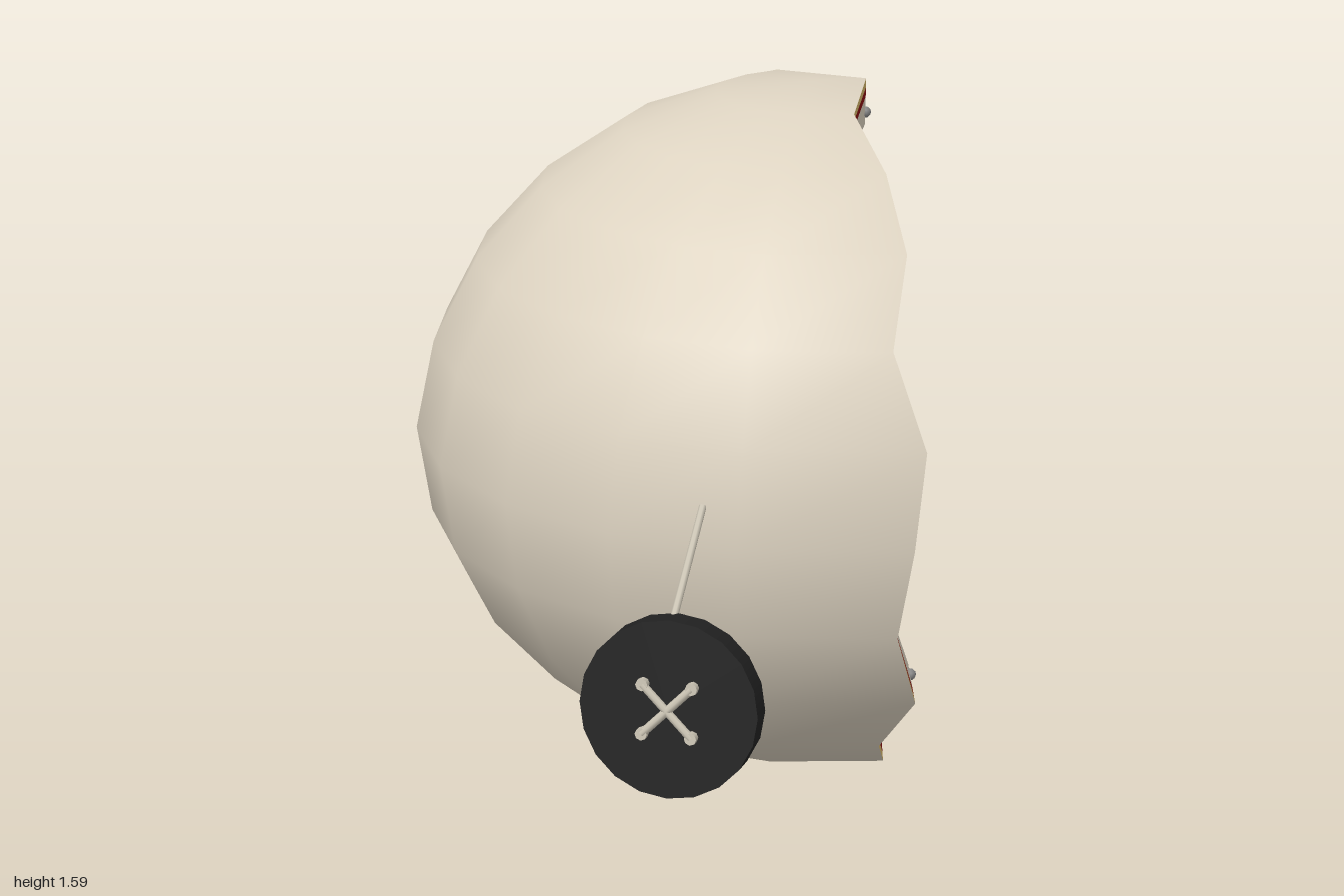
import * as THREE from 'three';

const mat = (name, color) => Object.assign(new THREE.MeshStandardMaterial({ color }), { name });

// Half ellipsoid: 12 rows of latitude, 10 columns from front to back
const ROWS = 12, COLS = 10, CENTRE = new THREE.Vector3(0.39, 0.795, -0.115);
const OUTER = new THREE.Vector3(0.915, 0.795, 0.885);
const INNER = new THREE.Vector3(0.81, 0.69, 0.78);

// x of the broken edge every 15 degrees, from the front over the top to the back
const EDGE = [0.475, 0.5, 0.44, 0.49, 0.475, 0.44, 0.505, 0.335, 0.37, 0.38, 0.33, 0.385,
  0.36, 0.335, 0.41, 0.36, 0.365, 0.44, 0.44, 0.505, 0.505, 0.46, 0.51, 0.45];

// Stained cells of the inside: row -> columns
const STAINS = { 1: [4, 5, 6, 7], 2: [1, 4, 5, 6, 7], 3: [0, 1, 7], 4: [0], 5: [5], 6: [4], 7: [2, 5, 7, 8], 8: [7, 8], 9: [9] };
const stained = (i, c) => (STAINS[i] || []).includes(c);

function shellPoint(r, i, c) {
  const lat = (i / ROWS - 0.5) * Math.PI, lon = (0.5 - c / COLS) * Math.PI;
  const p = new THREE.Vector3(
    CENTRE.x - r.x * Math.cos(lon) * Math.cos(lat),
    CENTRE.y + r.y * Math.sin(lat),
    CENTRE.z + r.z * Math.sin(lon) * Math.cos(lat));
  p.x += 0.05 * Math.max(0, Math.sin(lat)) * Math.cos(lat) * Math.cos(lon);
  if (c === 0) p.x = EDGE[(i + 18) % 24];
  if (c === COLS) p.x = EDGE[18 - i];
  return p;
}

// Smooth wall from the chosen cells of the half ellipsoid
function shellWall(r, inward, keep) {
  const pos = [], nor = [], index = [];
  for (let i = 0; i <= ROWS; i++) for (let c = 0; c <= COLS; c++) {
    const p = shellPoint(r, i, c);
    const n = p.clone().sub(CENTRE).divide(r).divide(r).normalize().multiplyScalar(inward ? -1 : 1);
    pos.push(p.x, p.y, p.z);
    nor.push(n.x, n.y, n.z);
  }
  for (let i = 0; i < ROWS; i++) for (let c = 0; c < COLS; c++) {
    if (!keep(i, c)) continue;
    const a = i * (COLS + 1) + c, b = a + 1, d = a + COLS + 1, e = d + 1;
    if (inward) index.push(b, d, a, b, e, d);
    else index.push(b, a, d, b, d, e);
  }
  const g = new THREE.BufferGeometry();
  g.setAttribute('position', new THREE.Float32BufferAttribute(pos, 3));
  g.setAttribute('normal', new THREE.Float32BufferAttribute(nor, 3));
  g.setIndex(index);
  return g;
}

// Point on the broken edge; s runs from the outside (0) to the inside (1)
function edgePoint(m, s) {
  const k = m % 24;
  const [i, c] = k <= 6 ? [k + 6, 0] : k >= 18 ? [k - 18, 0] : [18 - k, COLS];
  return shellPoint(OUTER, i, c).lerp(shellPoint(INNER, i, c), s);
}

// One flat layer of the broken edge
function edgeBand(s0, s1) {
  const pts = [];
  for (let m = 0; m < 24; m++) {
    const a = edgePoint(m, s0), b = edgePoint(m, s1), c = edgePoint(m + 1, s1), d = edgePoint(m + 1, s0);
    pts.push(a, b, c, a, c, d);
  }
  const g = new THREE.BufferGeometry().setFromPoints(pts);
  g.computeVertexNormals();
  return g;
}

// Round rod between two points
function rod(a, b, radius, material) {
  const dir = b.clone().sub(a);
  const m = new THREE.Mesh(new THREE.CylinderGeometry(radius, radius, dir.length(), 8), material);
  m.position.copy(a).add(b).multiplyScalar(0.5);
  m.quaternion.setFromUnitVectors(new THREE.Vector3(0, 1, 0), dir.normalize());
  return m;
}

export function createModel() {
  const cream = mat('cream shell', 0xddd3c1), red = mat('dark red', 0x8b0f10), tan = mat('tan layer', 0xd9b96c);
  const black = mat('black button', 0x222222), thread = mat('thread', 0xcbc4b4), metal = mat('stud metal', 0x858585);
  const model = new THREE.Group();
  const add = (name, object, parent = model) => {
    object.name = name;
    parent.add(object);
    return object;
  };

  // Hollow broken shell
  add('outerShell', new THREE.Mesh(shellWall(OUTER, false, () => true), cream));
  add('innerShell', new THREE.Mesh(shellWall(INNER, true, (i, c) => !stained(i, c)), cream));
  add('innerStains', new THREE.Mesh(shellWall(INNER, true, stained), red));

  // Layers of the broken edge
  add('edgeTanLayer', new THREE.Mesh(edgeBand(0, 0.2), tan));
  add('edgeRedLayer', new THREE.Mesh(edgeBand(0.2, 0.4), red));
  add('edgeCreamLayer', new THREE.Mesh(edgeBand(0.4, 1), cream));

  // Twelve studs around the edge
  for (let m = 0; m < 24; m += 2) {
    const stud = add('edgeStud', new THREE.Mesh(new THREE.SphereGeometry(0.013, 8, 6), metal));
    stud.position.copy(edgePoint(m, 0.74));
  }

  // Button hanging from a thread
  const button = add('button', new THREE.Group());
  button.position.set(-0.042, 0.532, 0.9);
  button.quaternion.setFromUnitVectors(new THREE.Vector3(0, 0, 1), new THREE.Vector3(-0.38, 0.13, 0.91).normalize());
  const disc = add('buttonDisc', new THREE.Mesh(new THREE.CylinderGeometry(0.188, 0.188, 0.06, 20), black), button);
  disc.rotation.x = Math.PI / 2;
  for (const s of [-1, 1]) {
    const ends = [-1, 1].map(e => new THREE.Vector3(0.052 * e, 0.052 * e * s, 0.04));
    add('crossStitch', rod(ends[0], ends[1], 0.009, thread), button);
    for (const p of ends) {
      add('stitchEnd', rod(p.clone().setZ(0.02), p.clone().setZ(0.047), 0.013, thread), button);
    }
  }
  add('hangingThread', rod(new THREE.Vector3(-0.055, 0.66, 0.9), new THREE.Vector3(0.045, 0.88, 0.68), 0.008, thread));

  return model;
}
